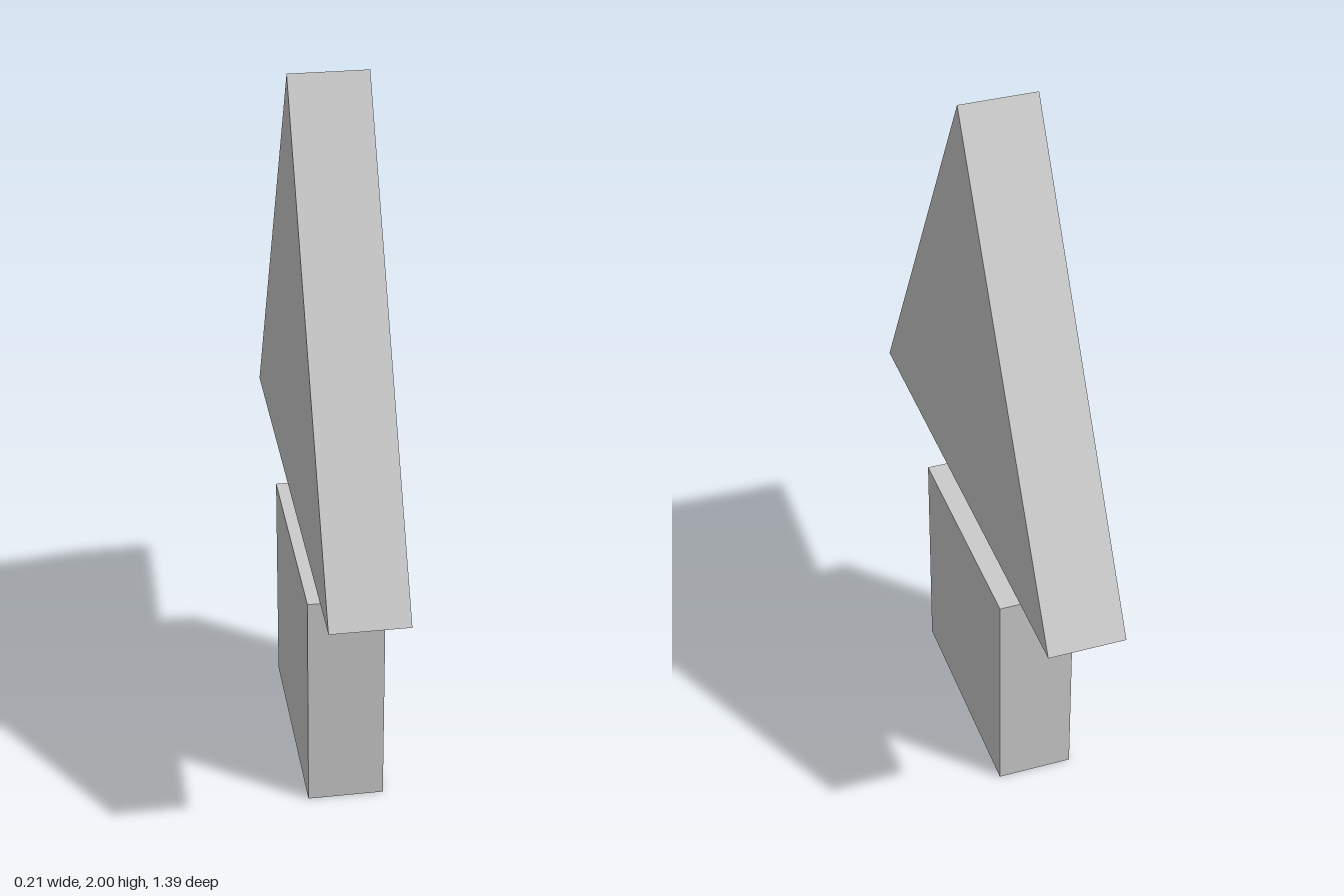
import * as THREE from 'three';

const THICKNESS = 0.21;

export function createModel() {
  const group = new THREE.Group();
  const material = new THREE.MeshStandardMaterial({ color: 0xcccccc, flatShading: true });

  // Square block standing on the ground
  const block = new THREE.Mesh(new THREE.BoxGeometry(THICKNESS, 0.643, 0.643), material);
  block.name = 'squareBlock';
  block.position.y = 0.643 / 2;
  group.add(block);

  // Equilateral triangular prism floating above, extruded across x
  const outline = new THREE.Shape([
    new THREE.Vector2(-0.695, 0.797),
    new THREE.Vector2(0.695, 0.797),
    new THREE.Vector2(0, 2),
  ]);
  const prismGeometry = new THREE.ExtrudeGeometry(outline, { depth: THICKNESS, bevelEnabled: false });
  prismGeometry.translate(0, 0, -THICKNESS / 2).rotateY(Math.PI / 2);
  const prism = new THREE.Mesh(prismGeometry, material);
  prism.name = 'triangularPrism';
  group.add(prism);

  return group;
}
